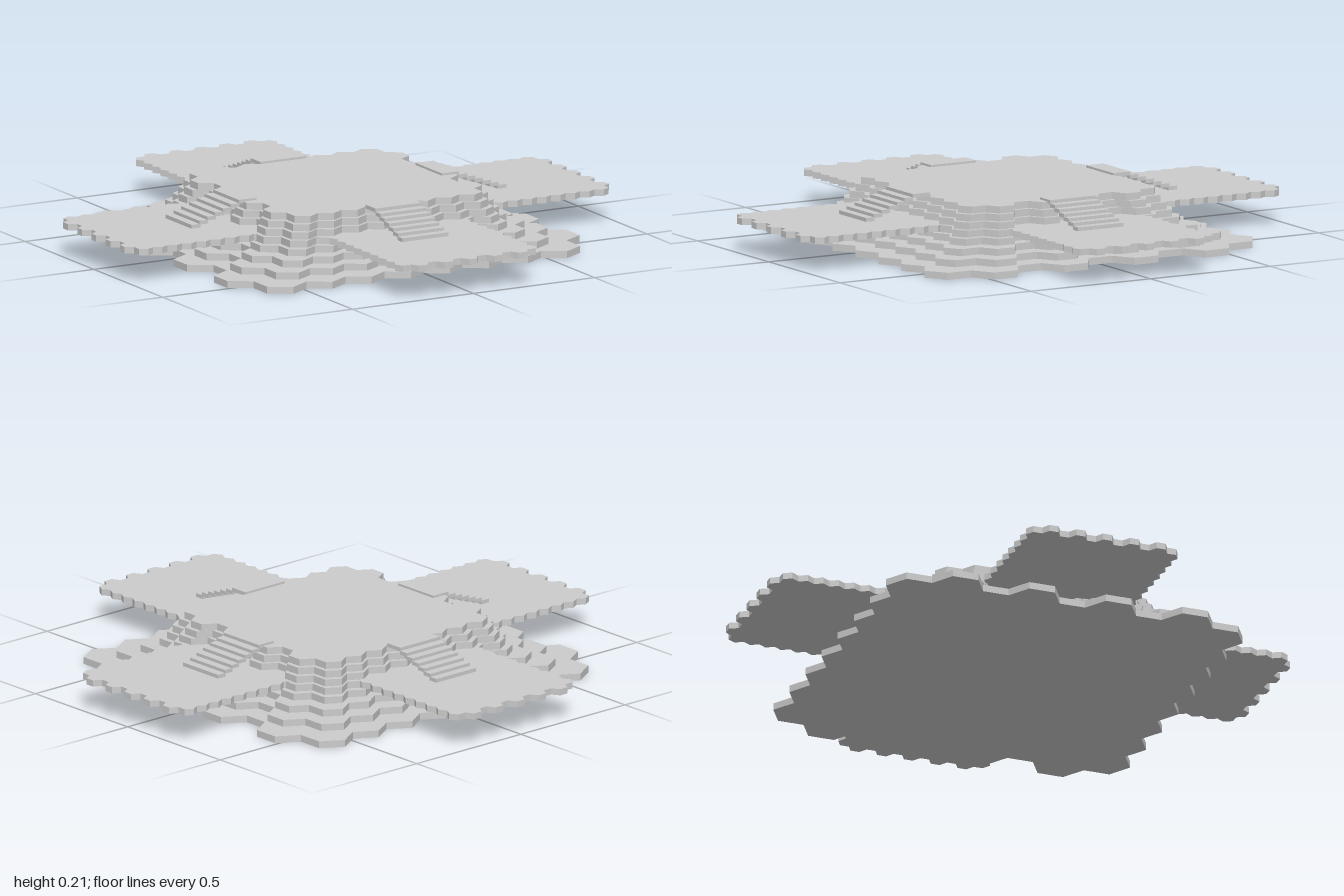
import * as THREE from 'three';

const material = new THREE.MeshStandardMaterial({ color: 0xcccccc, flatShading: true });

// Outline of a honeycomb patch: rows run from -n to n, count(row) cells in each
// w = cell width, r = cell radius
function honeycombSlab(n, count, w, r, height) {
  const pts = [];
  const last = count(n);
  // right edge, upwards
  for (let k = -n; k <= n; k++) {
    const x = count(k) * w / 2, y = k * 1.5 * r;
    pts.push([x, y - r / 2], [x, y + r / 2]);
  }
  // upper zigzag, right to left
  const top = n * 1.5 * r;
  for (let i = 0; i < last; i++) {
    const x = (last / 2 - i - 0.5) * w;
    pts.push([x, top + r]);
    if (i < last - 1) pts.push([x - w / 2, top + r / 2]);
  }
  // the other half is the same turned by 180 degrees
  const all = pts.concat(pts.map(([x, y]) => [-x, -y]));
  const shape = new THREE.Shape(all.map(([x, y]) => new THREE.Vector2(x, y)));
  const geo = new THREE.ExtrudeGeometry(shape, { depth: height, bevelEnabled: false });
  return geo.rotateX(-Math.PI / 2);
}

function addMesh(parent, name, geometry, x, y, z) {
  const mesh = new THREE.Mesh(geometry, material);
  mesh.name = name;
  mesh.position.set(x, y, z);
  parent.add(mesh);
  return mesh;
}

export function createModel() {
  const model = new THREE.Group();
  model.name = 'steppedPlatform';

  // Stacked tiers, each a smaller copy of the one below
  const tierHeight = 0.0255;
  const scales = [1, 0.87, 0.775, 0.7, 0.67, 0.648, 0.624, 0.6];
  const tierGeo = honeycombSlab(4, k => (k % 2 ? 9 : 8), 0.1615, 0.098, tierHeight);
  scales.forEach((s, i) => {
    addMesh(model, `tier${i + 1}`, tierGeo, 0, i * tierHeight, 0).scale.set(s, 1, s);
  });

  // Four arms with a staircase each
  const cell = 0.0594;
  const armGeo = honeycombSlab(5, k => (k % 2 ? 11 : 12), cell, cell / Math.sqrt(3), 0.0235);
  const steps = 6, stepDepth = 0.0322, stepHeight = 0.014, rise = 0.0115;
  const stepGeo = new THREE.BoxGeometry(stepDepth + 0.004, stepHeight, 0.19);
  const landingGeo = new THREE.BoxGeometry(0.072, stepHeight, 0.19);
  for (let q = 0; q < 4; q++) {
    const arm = new THREE.Group();
    arm.name = `arm${q + 1}`;
    arm.rotation.y = q * Math.PI / 2;
    addMesh(arm, 'deck', armGeo, 1 - 6 * cell, 0.105, 0);

    const stairs = new THREE.Group();
    stairs.name = 'stairs';
    for (let i = 0; i < steps; i++) {
      addMesh(stairs, `step${i + 1}`, stepGeo,
        0.648 - stepDepth * (i + 0.5), 0.1285 + stepHeight / 2 + rise * i, 0);
    }
    addMesh(stairs, 'landing', landingGeo, 0.419, 0.205, 0);
    arm.add(stairs);
    model.add(arm);
  }
  return model;
}
